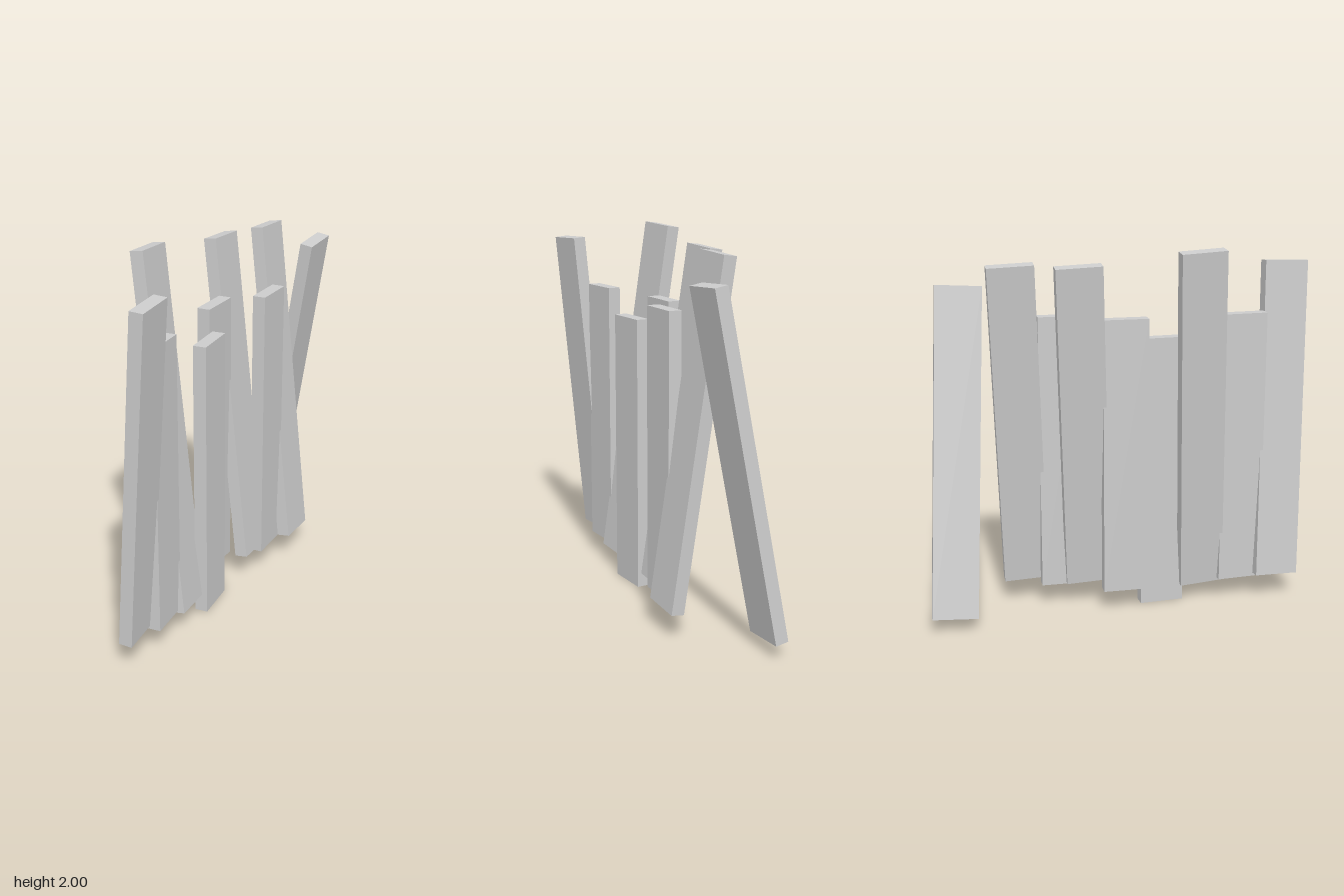
import * as THREE from 'three';

const WIDTH = 0.244, THICKNESS = 0.07;

// Each plank: length, centre position, lean about x, then yaw about its own axis
const PLANKS = [
  { name: 'leaningPlank1', length: 1.763, at: [-0.845, 1.015, 0.33], lean: 0.087, yaw: 0.39 },
  { name: 'uprightPlank1', length: 1.51, at: [-0.635, 0.875, 0.23], lean: 0, yaw: 0.39 },
  { name: 'leaningPlank2', length: 1.906, at: [-0.425, 1.045, 0.055], lean: -0.136, yaw: 0.39 },
  { name: 'uprightPlank2', length: 1.51, at: [-0.205, 0.755, 0.125], lean: 0, yaw: 0.39 },
  { name: 'uprightPlank3', length: 1.51, at: [-0.022, 0.875, -0.025], lean: 0, yaw: 0.32 },
  { name: 'leaningPlank3', length: 1.8, at: [0.195, 1.028, -0.078], lean: -0.136, yaw: 0.32 },
  { name: 'uprightPlank4', length: 1.51, at: [0.332, 0.875, 0.027], lean: 0, yaw: 0.32 },
  { name: 'leaningPlank4', length: 1.8, at: [0.547, 1.028, -0.078], lean: -0.136, yaw: 0.32 },
  { name: 'leaningPlank5', length: 1.755, at: [0.842, 0.935, -0.259], lean: 0.182, yaw: 0.32 },
];

export function createModel() {
  const model = new THREE.Group();
  model.name = 'plankFence';
  const material = new THREE.MeshStandardMaterial({ color: 0xcccccc, flatShading: true });

  for (const { name, length, at, lean, yaw } of PLANKS) {
    const plank = new THREE.Mesh(new THREE.BoxGeometry(WIDTH, length, THICKNESS), material);
    plank.name = name;
    plank.position.set(...at);
    plank.rotation.set(lean, yaw, 0, 'XYZ');
    model.add(plank);
  }
  return model;
}
